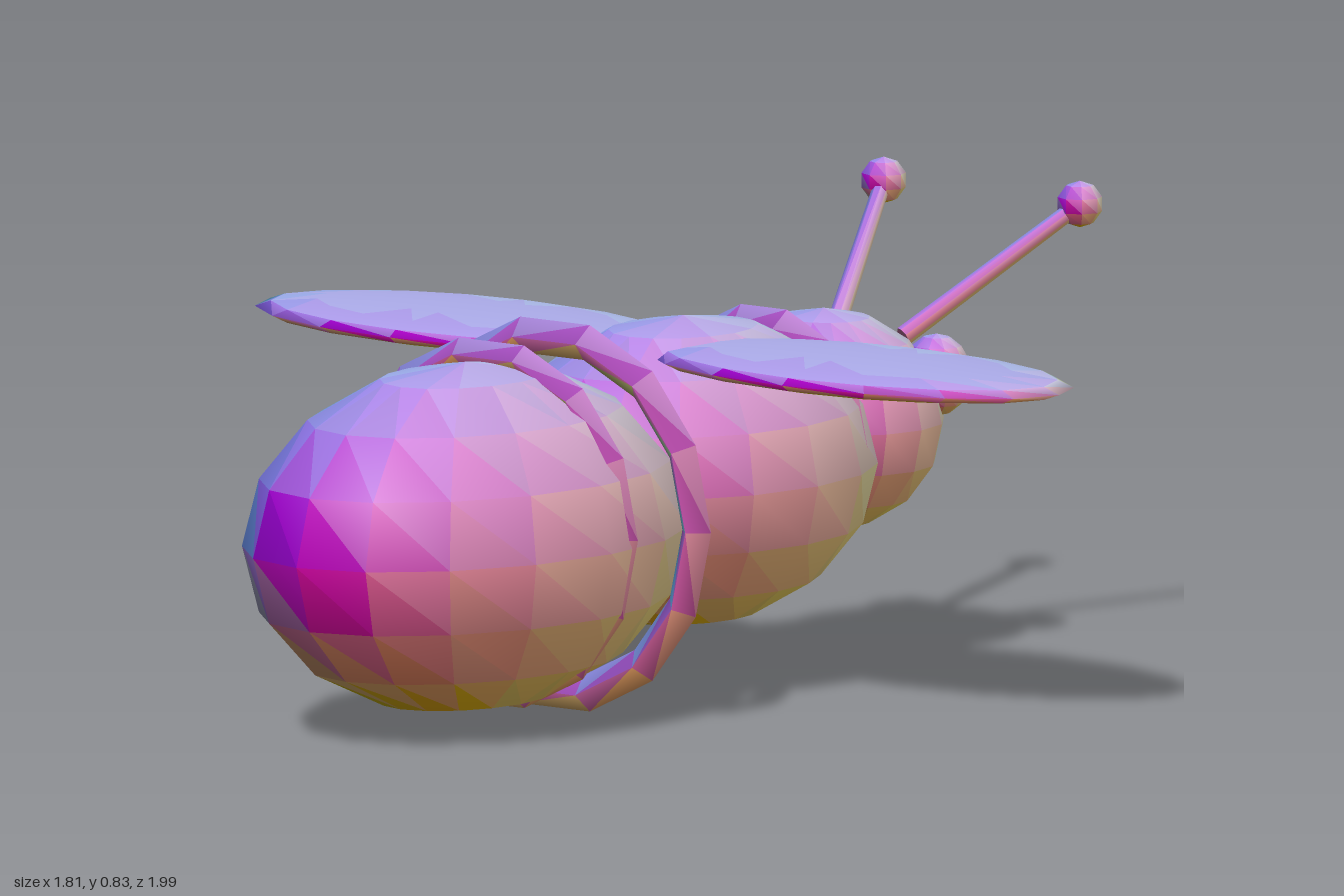
import * as THREE from 'three';

// Tints follow the facing of each facet: red to +x, green to -z, blue to +y
const tints = new Map();
function tintFor(normal) {
  const [x, y, z] = normal.toArray().map((v) => Math.round(v * 5) / 5);
  const key = [x, y, z].join();
  if (!tints.has(key)) {
    const color = new THREE.Color(1 + x, 1 - z, 1 + y).multiplyScalar(0.4);
    tints.set(key, new THREE.MeshStandardMaterial({ color }));
  }
  return tints.get(key);
}

// Sorts the facets by tint into groups and returns the matching materials
function paint(geometry) {
  const index = geometry.index.array;
  const normals = geometry.attributes.normal;
  const facets = new Map();
  for (let i = 0; i < index.length; i += 3) {
    const corners = [index[i], index[i + 1], index[i + 2]];
    const facing = new THREE.Vector3();
    for (const c of corners) facing.add(new THREE.Vector3().fromBufferAttribute(normals, c));
    const tint = tintFor(facing.normalize());
    if (!facets.has(tint)) facets.set(tint, []);
    facets.get(tint).push(...corners);
  }
  geometry.setIndex([...facets.values()].flat());
  geometry.clearGroups();
  let start = 0;
  [...facets.values()].forEach((list, m) => {
    geometry.addGroup(start, list.length, m);
    start += list.length;
  });
  return [...facets.keys()];
}

export function createModel() {
  const bee = new THREE.Group();
  bee.name = 'bee';

  const add = (name, geometry, position) => {
    const mesh = new THREE.Mesh(geometry, paint(geometry));
    mesh.name = name;
    mesh.position.set(...position);
    bee.add(mesh);
  };

  // Sphere stretched to the given half-sizes
  const ellipsoid = (name, position, radii, across = 16, down = 8) =>
    add(name, new THREE.SphereGeometry(1, across, down).scale(...radii), position);

  // Body, from tail to head
  ellipsoid('abdomen', [0, 0.34, 0.52], [0.337, 0.315, 0.48]);
  ellipsoid('thorax', [0, 0.385, -0.1], [0.31, 0.28, 0.4]);
  ellipsoid('head', [0, 0.43, -0.5], [0.225, 0.2, 0.205]);

  // Sharp-edged stripes around the body: name, y, z, ring radius, tube radius
  const stripes = [
    ['frontStripe', 0.42, -0.33, 0.205, 0.033],
    ['waistStripe', 0.349, 0.264, 0.325, 0.033],
    ['rearStripe', 0.355, 0.445, 0.308, 0.028],
  ];
  for (const [name, y, z, radius, tube] of stripes) {
    add(name, new THREE.TorusGeometry(radius, tube, 4, 14), [0, y, z]);
  }

  // Paired parts; the model's left is +x
  const up = new THREE.Vector3(0, 1, 0);
  for (const [side, s] of [['left', 1], ['right', -1]]) {
    ellipsoid(side + 'Wing', [s * 0.45, 0.614, -0.047], [0.455, 0.031, 0.224]);
    ellipsoid(side + 'Eye', [s * 0.148, 0.507, -0.638], [0.065, 0.074, 0.059], 10, 8);

    // Antenna stalk runs from the brow to the ball at its tip
    const root = new THREE.Vector3(s * 0.078, 0.57, -0.63);
    const tip = new THREE.Vector3(s * 0.225, 0.785, -0.95);
    const along = tip.clone().sub(root);
    const middle = root.clone().lerp(tip, 0.5);
    const stalk = new THREE.CylinderGeometry(0.015, 0.018, along.length(), 8);
    stalk.applyQuaternion(new THREE.Quaternion().setFromUnitVectors(up, along.normalize()));
    add(side + 'Antenna', stalk, middle.toArray());
    ellipsoid(side + 'AntennaTip', tip.toArray(), [0.042, 0.042, 0.042], 8, 5);
  }

  return bee;
}
